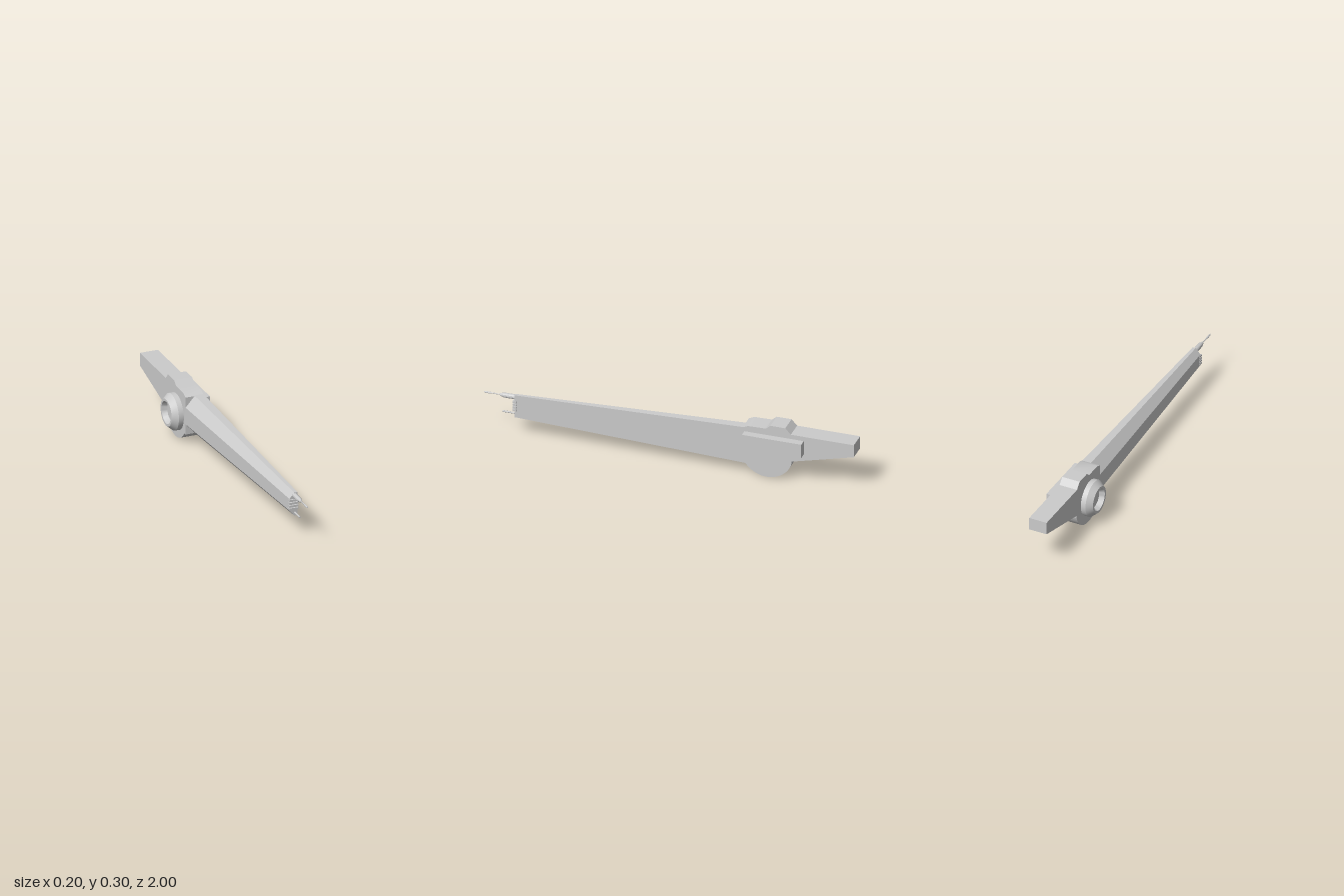
import * as THREE from 'three';
import { toCreasedNormals } from 'three/addons/utils/BufferGeometryUtils.js';

const flat = new THREE.MeshStandardMaterial({ color: 0xcccccc, flatShading: true });
const smooth = new THREE.MeshStandardMaterial({ color: 0xcccccc });

// Half-octagon section of the beam, flat on the +x side, counter-clockwise seen from +z
function section(left, shoulder, bottom, low, high, top, z) {
  const right = 0.057;
  return [[right, bottom], [right, top], [shoulder, top], [left, high], [left, low], [shoulder, bottom]]
    .map(([x, y]) => [x, y, z]);
}

// Joins two sections with side faces and closes both ends
function loft(back, front) {
  const pos = [];
  const tri = (a, b, c) => pos.push(...a, ...b, ...c);
  const n = back.length;
  for (let i = 0; i < n; i++) {
    const j = (i + 1) % n;
    tri(back[i], back[j], front[j]);
    tri(back[i], front[j], front[i]);
    if (i > 0 && i < n - 1) {
      tri(front[0], front[i], front[i + 1]);
      tri(back[0], back[i + 1], back[i]);
    }
  }
  const g = new THREE.BufferGeometry();
  g.setAttribute('position', new THREE.Float32BufferAttribute(pos, 3));
  g.computeVertexNormals();
  return g;
}

// Turned part from [radius, height] pairs, edges kept sharp
function turned(points, segments) {
  const g = new THREE.LatheGeometry(points.map(([r, h]) => new THREE.Vector2(r, h)), segments);
  return toCreasedNormals(g, 0.5);
}

export function createModel() {
  const group = new THREE.Group();
  const add = (name, geometry, material = flat) => {
    const mesh = new THREE.Mesh(geometry, material);
    mesh.name = name;
    group.add(mesh);
    return mesh;
  };

  // Rear body: side profile (z, y) with a round belly and a raised sight block
  const s = new THREE.Shape();
  s.moveTo(-1, 0.2);
  s.lineTo(-0.665, 0.113);
  s.lineTo(-0.665, 0.1);
  s.absarc(-0.53, 0.14, 0.14, Math.PI + 0.29, 2 * Math.PI - 0.61, false);
  s.lineTo(-0.4, 0.06);
  s.lineTo(-0.4, 0.266);
  s.lineTo(-0.43, 0.279);
  s.lineTo(-0.525, 0.281);
  s.lineTo(-0.55, 0.302);
  s.lineTo(-0.63, 0.302);
  s.lineTo(-0.66, 0.27);
  s.lineTo(-1, 0.27);
  s.closePath();
  const body = new THREE.ExtrudeGeometry(s, { depth: 0.1, bevelEnabled: false, curveSegments: 20 });
  body.rotateY(-Math.PI / 2).translate(0.057, 0, 0);
  add('rearBody', toCreasedNormals(body, 0.5), smooth);

  // Long tapering beam
  add('beam', loft(
    section(-0.043, 0.008, 0.06, 0.117, 0.21, 0.268, -0.41),
    section(0.013, 0.04, 0.1, 0.132, 0.197, 0.228, 0.832)
  ));

  // Hollow round hub on the right-hand side
  const hub = turned([[0.098, 0.04], [0.098, 0.07], [0.073, 0.1], [0.06, 0.1], [0.05, 0.072], [0, 0.072]], 40);
  hub.rotateZ(Math.PI / 2).translate(0, 0.143, -0.52);
  add('hub', hub, smooth);

  // Side box
  add('sideBox', new THREE.BoxGeometry(0.042, 0.078, 0.32)).position.set(0.076, 0.206, -0.57);

  // Slats across the front end
  for (let i = 0; i < 4; i++) {
    add('frontSlat', new THREE.BoxGeometry(0.05, 0.01, 0.02)).position.set(0.035, 0.142 + i * 0.0155, 0.831);
  }

  // Needle with a stepped barrel
  const needle = turned([[0, 0.82], [0.013, 0.82], [0.013, 0.89], [0.007, 0.912], [0.003, 0.915], [0.003, 0.955],
    [0.005, 0.965], [0.005, 0.99], [0.003, 1], [0, 1]], 12);
  needle.rotateX(Math.PI / 2).translate(0.043, 0.212, 0);
  add('needle', needle, smooth);

  // Short lower rod
  const rod = new THREE.CylinderGeometry(0.005, 0.005, 0.08, 10);
  rod.rotateX(Math.PI / 2);
  add('lowerRod', rod, smooth).position.set(0.043, 0.117, 0.86);

  return group;
}
